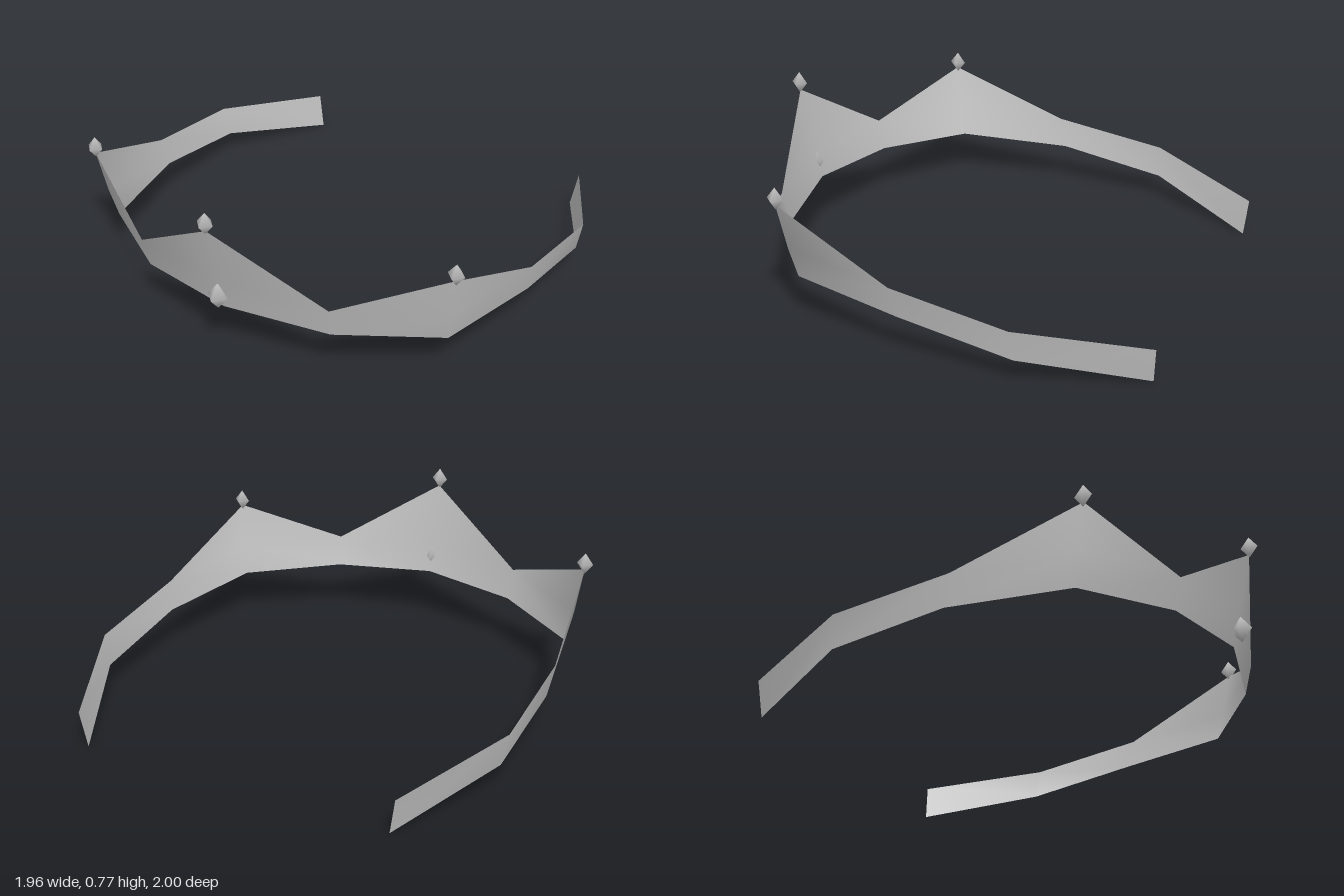
import * as THREE from 'three';

export function createModel() {
  const group = new THREE.Group();
  const silver = new THREE.MeshStandardMaterial({ color: 0xc0c0c0, side: THREE.DoubleSide });
  silver.name = 'silver';

  // Stations on the left half, front to back: lower edge, then upper edge
  const half = [
    [[0, 0.27, 0.863], [0, 0.41, 0.893]],
    [[0.455, 0.252, 0.77], [0.465, 0.39, 0.8]],
    [[0.845, 0.225, 0.508], [0.87, 0.36, 0.535]],
    [[0.952, 0.198, 0], [0.972, 0.333, 0.03]],
    [[0.955, 0.118, -0.495], [0.982, 0.257, -0.485]],
    [[0.71, 0.004, -0.988], [0.738, 0.163, -1]],
  ];
  const mirror = ([x, y, z]) => [-x, y, z];
  const stations = [...half.slice(1).reverse().map(s => s.map(mirror)), ...half];
  const centre = half.length - 1;

  // Sheet band: two vertices per station, right end to left end
  const positions = stations.flat(2);
  const index = [];
  for (let i = 0; i < stations.length - 1; i++) {
    const a = 2 * i;
    index.push(a, a + 2, a + 3, a, a + 3, a + 1);
  }

  // Pointed peaks rise from three upper-edge vertices and join their neighbours
  const peaks = [[-3 + 1, [-0.895, 0.56, 0.567]], [0, [0, 0.69, 0.955]], [2, [0.895, 0.56, 0.567]]];
  for (const [offset, tip] of peaks) {
    const base = 2 * (centre + offset) + 1;
    const top = positions.length / 3;
    positions.push(...tip);
    index.push(base - 2, base, top, base, base + 2, top);
  }

  const sheet = new THREE.BufferGeometry();
  sheet.setAttribute('position', new THREE.Float32BufferAttribute(positions, 3));
  sheet.setIndex(index);
  sheet.computeVertexNormals();
  const band = new THREE.Mesh(sheet, silver);
  band.name = 'bandWithPeaks';
  group.add(band);

  // Eight-sided gems on the peaks and the brow
  const gemShape = new THREE.SphereGeometry(1, 4, 2);
  const addGem = (name, x, y, z, radius, halfHeight) => {
    const gem = new THREE.Mesh(gemShape, silver);
    gem.name = name;
    gem.position.set(x, y, z);
    gem.scale.set(radius, halfHeight, radius);
    group.add(gem);
  };
  addGem('centreGem', 0, 0.726, 0.957, 0.038, 0.049);
  addGem('leftGem', 0.895, 0.588, 0.565, 0.038, 0.049);
  addGem('rightGem', -0.895, 0.588, 0.565, 0.038, 0.049);
  addGem('browGem', 0, 0.345, 0.9, 0.047, 0.06);

  return group;
}
